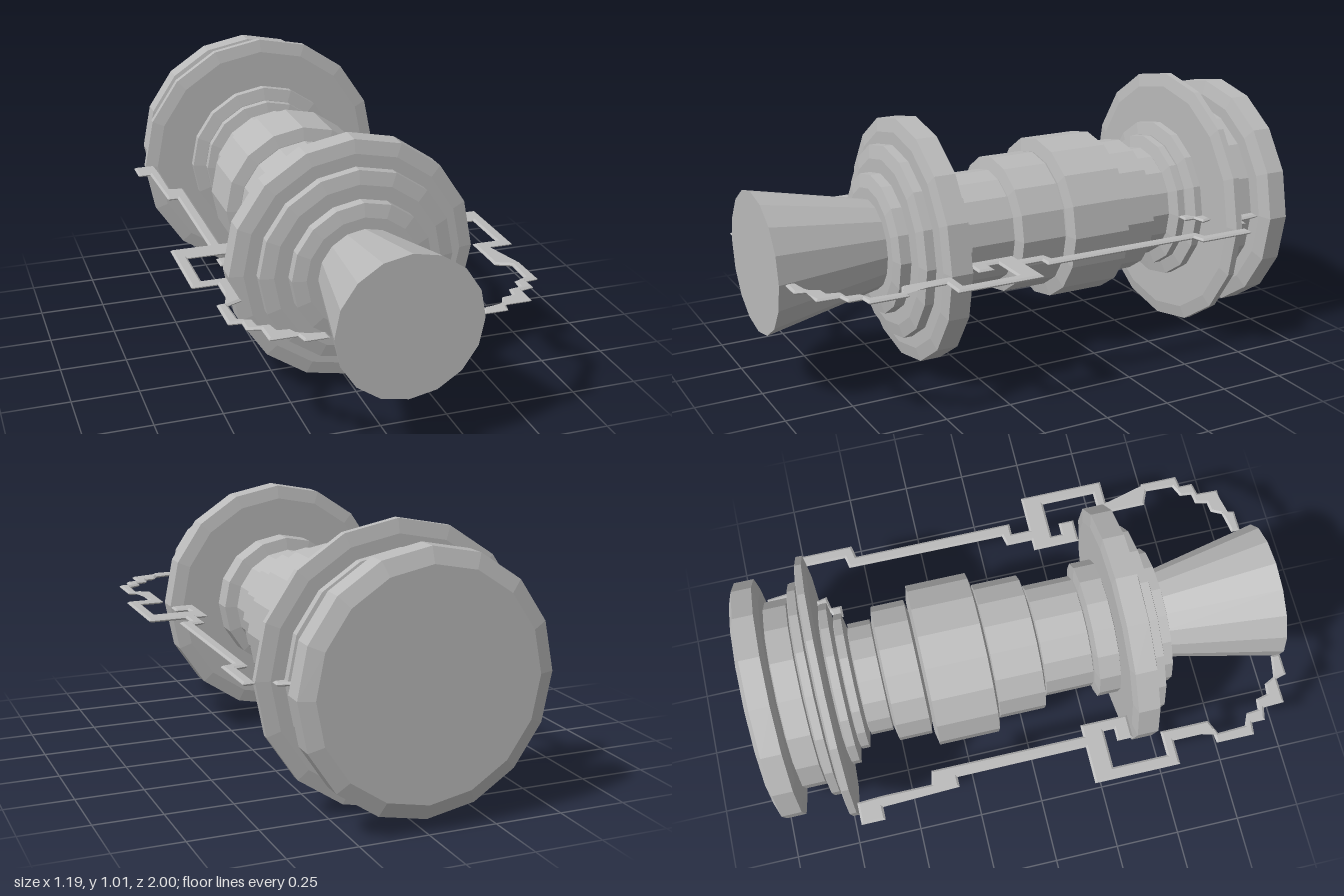
import * as THREE from 'three';

const CENTRE_Y = 0.503;

// Collars from back to front: [back z, front z, radius]
const COLLARS = [
  [-0.895, -0.79, 0.36], [-0.795, -0.745, 0.41], [-0.745, -0.7, 0.503],
  [-0.7, -0.65, 0.31], [-0.655, -0.605, 0.26], [-0.61, -0.505, 0.215],
  [-0.51, -0.365, 0.26], [-0.365, -0.115, 0.31], [-0.12, 0.075, 0.26],
  [0.07, 0.27, 0.215], [0.265, 0.365, 0.26], [0.36, 0.46, 0.455],
  [0.455, 0.51, 0.36], [0.505, 0.565, 0.26],
];

// Front half of a side rail as [x, z], outer edge forward then inner edge back
const RAIL_FRONT = [
  [0.455, 0.17], [0.597, 0.17], [0.597, 0.495], [0.505, 0.495], [0.505, 0.645],
  [0.55, 0.65], [0.55, 0.795], [0.505, 0.8], [0.505, 0.85], [0.458, 0.86],
  [0.455, 0.94], [0.36, 0.94], [0.35, 0.98], [0.267, 0.98], [0.267, 0.945],
  [0.35, 0.93], [0.37, 0.89], [0.41, 0.885], [0.42, 0.84], [0.46, 0.835],
  [0.465, 0.79], [0.51, 0.77], [0.515, 0.665], [0.46, 0.64], [0.46, 0.455],
  [0.553, 0.455], [0.553, 0.25], [0.41, 0.25], [0.41, 0.29], [0.458, 0.29],
  [0.458, 0.35], [0.368, 0.35], [0.368, 0.17], [0.412, 0.17],
];
const RAIL_REAR_LEFT = [
  [0.412, 0.07], [0.455, 0.06], [0.46, -0.55], [0.505, -0.56], [0.505, -0.745],
  [0.548, -0.745], [0.548, -0.525], [0.5, -0.515], [0.5, 0.1], [0.455, 0.1],
];
const RAIL_REAR_RIGHT = [
  [0.412, -0.41], [0.463, -0.42], [0.463, -0.61], [0.468, -0.7], [0.553, -0.7],
  [0.553, -0.61], [0.505, -0.61], [0.495, -0.32], [0.457, -0.32],
];
const HOOK_REAR = [
  [0.36, -0.885], [0.4, -0.885], [0.41, -0.8], [0.45, -0.79],
  [0.45, -0.755], [0.4, -0.755], [0.365, -0.8],
];
const HOOK_INNER = [
  [0.35, -0.7], [0.36, -0.66], [0.31, -0.65], [0.31, -0.61],
  [0.265, -0.61], [0.265, -0.645], [0.3, -0.66], [0.3, -0.7],
];

export function createModel() {
  const model = new THREE.Group();
  model.name = 'capsule';
  const metal = new THREE.MeshStandardMaterial({ color: 0xbababa });
  metal.name = 'grey metal';
  metal.flatShading = true;

  function add(name, geometry) {
    const mesh = new THREE.Mesh(geometry, metal);
    mesh.name = name;
    mesh.position.y = CENTRE_Y;
    model.add(mesh);
  }

  // Sixteen-sided solid of revolution along z, from [radius, z] points
  function turned(name, points) {
    const profile = points.map(([r, z]) => new THREE.Vector2(r, z));
    add(name, new THREE.LatheGeometry(profile, 16).rotateX(Math.PI / 2));
  }

  // Thin plate with bevelled rims, lying flat; side -1 mirrors it
  function plate(name, outline, side = 1) {
    const shape = new THREE.Shape(outline.map(([x, z]) => new THREE.Vector2(x * side, z)));
    const geometry = new THREE.ExtrudeGeometry(shape, {
      depth: 0.002, bevelThickness: 0.006, bevelSize: 0.008, bevelOffset: -0.008, bevelSegments: 1,
    });
    add(name, geometry.translate(0, 0, -0.001).rotateX(Math.PI / 2));
  }

  // Main body: each collar has gently sloping end faces
  COLLARS.forEach(([z0, z1, r], i) => {
    turned(`collar${i + 1}`, [
      [0, z0], [r - 0.05, z0], [r, z0 + 0.01], [r, z1 - 0.01], [r - 0.05, z1], [0, z1],
    ]);
  });
  turned('rearCap', [[0, -1], [0.4, -1], [0.455, -0.98], [0.455, -0.905], [0.4, -0.892], [0, -0.892]]);
  turned('nozzle', [[0, 0.55], [0.165, 0.55], [0.26, 1], [0, 1]]);

  // Stepped rails and small hooks beside the body
  plate('leftRail', [...RAIL_FRONT, ...RAIL_REAR_LEFT]);
  plate('rightRail', [...RAIL_FRONT, ...RAIL_REAR_RIGHT], -1);
  plate('rearHook', HOOK_REAR);
  plate('innerHook', HOOK_INNER);

  return model;
}
